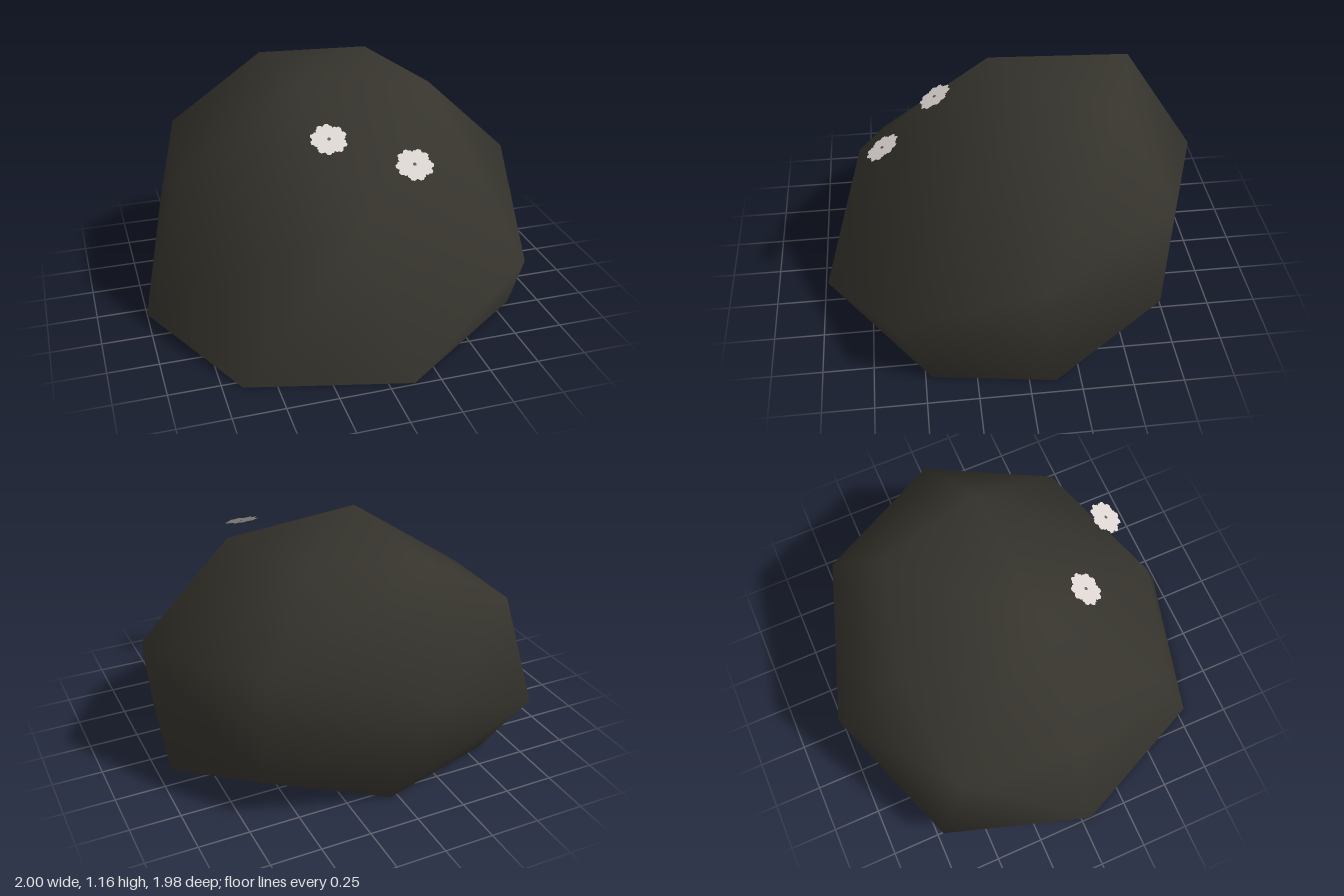
import * as THREE from 'three';
import { ConvexGeometry } from 'three/addons/geometries/ConvexGeometry.js';
import { mergeVertices } from 'three/addons/utils/BufferGeometryUtils.js';

const stone = new THREE.MeshStandardMaterial({ color: 0x363529, side: THREE.DoubleSide });
stone.color.set(0x36342d);
const petalPink = new THREE.MeshStandardMaterial({ color: 0xded7d4, side: THREE.DoubleSide });
const flowerHeart = new THREE.MeshStandardMaterial({ color: 0x6a5a58, side: THREE.DoubleSide });

// Corners of the boulder, ring by ring from the ground up
const corners = [
  // footprint
  [0.12, 0, 0.99], [0.84, 0, 0.47], [0.93, 0, -0.13], [0.04, 0, -0.8],
  [-0.58, 0, -0.62], [-1, 0, 0.05], [-0.655, 0, 0.795],
  // belly
  [0.83, 0.34, 0.635], [0.66, 0.21, -0.69], [-0.8, 0.28, -0.72], [-0.6, 0.5, 0.64],
  // shoulder
  [1, 0.66, -0.06], [0.62, 0.76, -0.72], [-0.12, 0.6, -0.99],
  [-0.72, 0.81, -0.56], [-0.79, 0.755, 0.04], [-0.05, 0.75, 0.755],
  // crown
  [-0.19, 1.165, 0.08], [-0.21, 1.125, -0.64], [0.35, 1.15, -0.5], [0.51, 1.12, 0.05],
];

// Smooth hull through the corners, left open underneath
function makeRock() {
  const hull = new ConvexGeometry(corners.map((c) => new THREE.Vector3(...c)));
  const pos = hull.getAttribute('position');
  const skin = [];
  for (let i = 0; i < pos.count; i += 3) {
    const tri = [i, i + 1, i + 2];
    if (tri.every((k) => pos.getY(k) < 0.001)) continue;
    for (const k of tri) skin.push(pos.getX(k), pos.getY(k), pos.getZ(k));
  }
  let geo = new THREE.BufferGeometry();
  geo.setAttribute('position', new THREE.Float32BufferAttribute(skin, 3));
  geo = mergeVertices(geo);
  geo.computeVertexNormals();
  const rock = new THREE.Mesh(geo, stone);
  rock.name = 'rock';
  return rock;
}

// One broad petal along +y with a ragged, notched tip
function makePetal() {
  const half = [[0.006, 0.006], [0.024, 0.03], [0.042, 0.055], [0.041, 0.07],
    [0.033, 0.073], [0.029, 0.086], [0.014, 0.089]];
  const right = half.map(([x, y]) => new THREE.Vector2(x, y));
  const left = half.map(([x, y]) => new THREE.Vector2(-x, y)).reverse();
  return new THREE.ShapeGeometry(new THREE.Shape([...right, new THREE.Vector2(0, 0.079), ...left]));
}

// Five-petalled blossom lying in the local xy plane
function makeBlossom(name, x, y, z, turn) {
  const blossom = new THREE.Group();
  blossom.name = name;
  const petalGeo = makePetal();
  for (let i = 0; i < 5; i++) {
    const petal = new THREE.Mesh(petalGeo, petalPink);
    petal.name = 'petal';
    petal.rotation.z = turn + (i * Math.PI * 2) / 5;
    blossom.add(petal);
  }
  const heart = new THREE.Mesh(new THREE.CircleGeometry(0.009, 8), flowerHeart);
  heart.name = 'blossomHeart';
  heart.position.z = 0.003;
  blossom.add(heart);
  blossom.position.set(x, y, z);
  blossom.rotation.set(-1.03, -0.06, 0); // follows the front slope
  return blossom;
}

export function createModel() {
  const model = new THREE.Group();
  model.name = 'rockWithBlossoms';
  model.add(makeRock());
  model.add(makeBlossom('upperBlossom', -0.11, 1.005, 0.36, 0.15));
  model.add(makeBlossom('lowerBlossom', 0.22, 0.95, 0.63, 0.5));
  return model;
}
